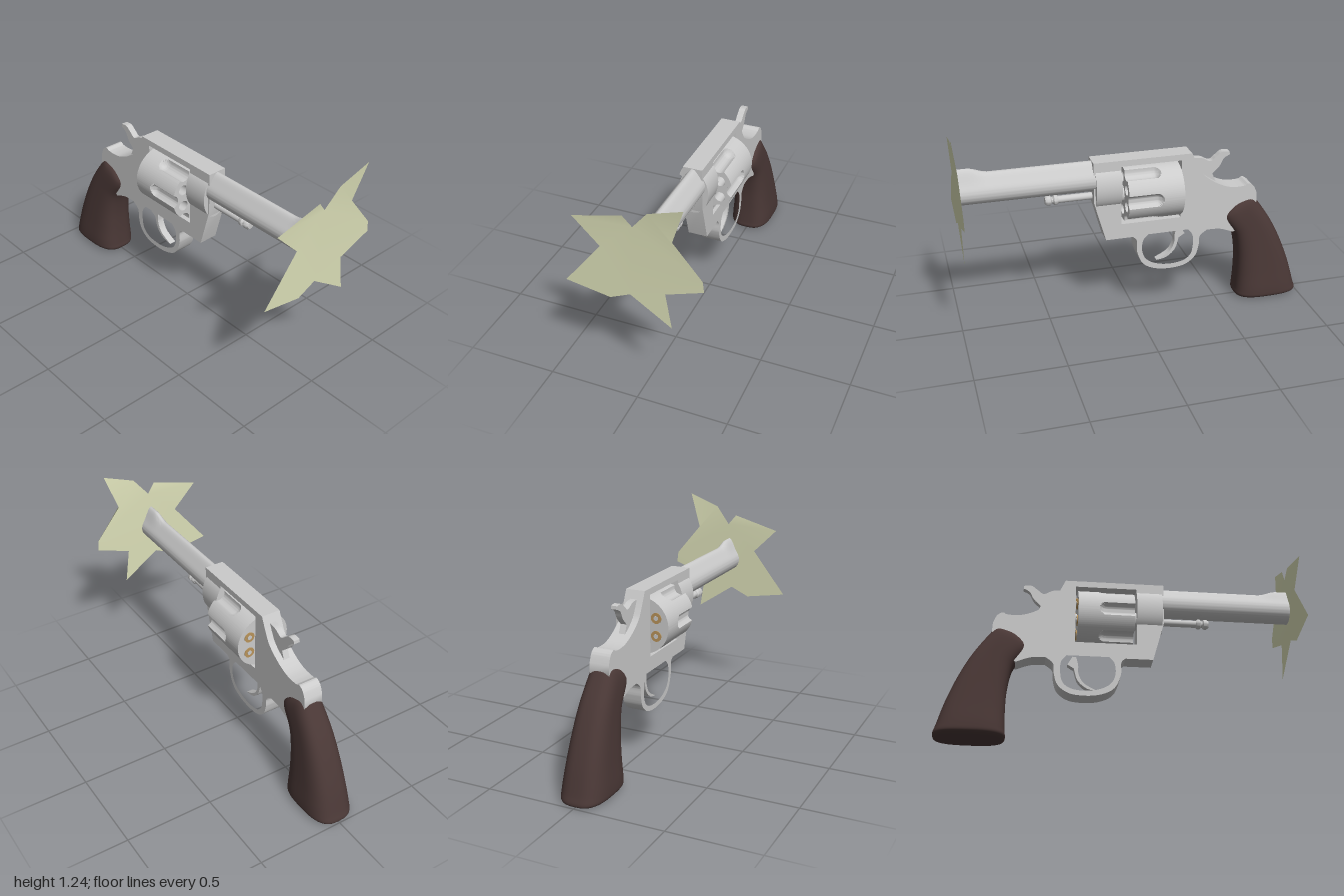
import * as THREE from 'three';
import { toCreasedNormals, mergeVertices } from 'three/addons/utils/BufferGeometryUtils.js';

const steel = new THREE.MeshStandardMaterial({ color: 0xcccccc });
const steelInside = new THREE.MeshStandardMaterial({ color: 0xcccccc, side: THREE.BackSide });
const wood = new THREE.MeshStandardMaterial({ color: 0x4a3836 });
const brass = new THREE.MeshStandardMaterial({ color: 0xb8935a });
const flame = new THREE.MeshStandardMaterial({ color: 0xdcdfb8, side: THREE.DoubleSide });

export function createModel() {
  const model = new THREE.Group();
  const add = (name, geo, mat = steel, parent = model) => {
    const mesh = new THREE.Mesh(geo, mat);
    mesh.name = name;
    parent.add(mesh);
    return mesh;
  };

  // Side-profile plate: shape drawn in (z, y), thickness centred on x = 0
  const plate = (shape, width) => {
    const geo = new THREE.ExtrudeGeometry(shape, { depth: width, bevelEnabled: false, curveSegments: 10 });
    geo.translate(0, 0, -width / 2).rotateY(-Math.PI / 2);
    return toCreasedNormals(geo, 0.6);
  };
  // Round bar along z between two positions
  const bar = (r, z0, z1, y, x = 0, open = false, seg = 28) =>
    new THREE.CylinderGeometry(r, r, z1 - z0, seg, 1, open).rotateX(Math.PI / 2).translate(x, y, (z0 + z1) / 2);
  const pts = (list) => list.map(([a, b]) => new THREE.Vector2(a, b));

  // Frame with trigger guard, cylinder window and guard opening
  const f = new THREE.Shape();
  f.moveTo(0.24, 0.955);
  f.lineTo(0.24, 0.72);
  f.lineTo(0.175, 0.487);
  f.lineTo(0.02, 0.487);
  f.splineThru(pts([[-0.003, 0.46], [-0.005, 0.39], [-0.04, 0.31], [-0.11, 0.27], [-0.2, 0.258],
    [-0.29, 0.27], [-0.35, 0.315], [-0.372, 0.38], [-0.378, 0.44], [-0.42, 0.475]]));
  f.splineThru(pts([[-0.5, 0.47], [-0.58, 0.44]]));
  f.lineTo(-0.66, 0.48);
  f.lineTo(-0.718, 0.62);
  f.lineTo(-0.715, 0.67);
  f.splineThru(pts([[-0.695, 0.715], [-0.665, 0.735], [-0.645, 0.725]]));
  f.splineThru(pts([[-0.6, 0.722], [-0.54, 0.73], [-0.47, 0.76], [-0.4, 0.81], [-0.365, 0.86], [-0.32, 0.955]]));
  f.closePath();
  const windowHole = new THREE.Path(pts([[0.085, 0.92], [-0.26, 0.92], [-0.26, 0.575], [0.085, 0.575]]));
  const guardHole = new THREE.Path();
  guardHole.moveTo(-0.07, 0.492);
  guardHole.splineThru(pts([[-0.04, 0.455], [-0.035, 0.39], [-0.06, 0.335], [-0.12, 0.3], [-0.2, 0.287],
    [-0.28, 0.298], [-0.325, 0.335], [-0.338, 0.4], [-0.333, 0.455], [-0.305, 0.492]]));
  guardHole.closePath();
  f.holes.push(windowHole, guardHole);
  add('frame', plate(f, 0.11));

  // Rounded swelling of the frame where the barrel enters
  add('barrelCollar', bar(1, 0.085, 0.23, 0, 0, false, 40).scale(0.085, 0.13, 1).translate(0, 0.8, 0));

  // Barrel: round tube drawn up into a top rib that rises to the front sight
  const barrel = new THREE.CylinderGeometry(0.068, 0.068, 0.74, 64, 40).rotateX(Math.PI / 2).translate(0, 0, 0.6);
  const bp = barrel.attributes.position;
  for (let i = 0; i < bp.count; i++) {
    const s = Math.max(0, bp.getY(i) / 0.068);
    const rise = 0.037 + 0.028 * THREE.MathUtils.smoothstep(bp.getZ(i), 0.8, 0.91);
    bp.setY(i, bp.getY(i) + 0.847 + rise * s ** 7);
  }
  add('barrel', toCreasedNormals(barrel, 0.7));

  // Ejector rod under the barrel
  const rod = new THREE.Group();
  rod.name = 'ejectorRod';
  model.add(rod);
  add('rodShaft', bar(0.02, 0.2, 0.45, 0.745), steel, rod);
  const knob = [[0, 0], [0.022, 0], [0.028, 0.008], [0.028, 0.022], [0.018, 0.03], [0.018, 0.036],
    [0.028, 0.043], [0.028, 0.06], [0.02, 0.072], [0, 0.074]];
  add('rodKnob', toCreasedNormals(new THREE.LatheGeometry(pts(knob), 24).rotateX(Math.PI / 2)
    .translate(0, 0.745, 0.43), 0.7), steel, rod);

  // Fluted cylinder with chambers in front and cartridges behind
  const drum = new THREE.Group();
  drum.name = 'cylinder';
  drum.position.y = 0.742;
  model.add(drum);
  const R = 0.158, D = 0.165, FRONT = 0.065, BACK = -0.25;
  const drumRadius = (angle, z) => {
    const step = Math.PI / 3;
    const a = angle - Math.round(angle / step) * step;
    const past = Math.max(0, -0.09 - z);
    const inside = 0.04 ** 2 - past ** 2 - (D * Math.sin(a)) ** 2;
    return inside > 0 ? Math.min(R, D * Math.cos(a) - Math.sqrt(inside)) : R;
  };
  const wall = new THREE.CylinderGeometry(R, R, FRONT - BACK, 180, 48, true)
    .rotateX(Math.PI / 2).translate(0, 0, (FRONT + BACK) / 2);
  const wp = wall.attributes.position;
  for (let i = 0; i < wp.count; i++) {
    const a = Math.atan2(wp.getY(i), wp.getX(i));
    const r = drumRadius(a, wp.getZ(i));
    wp.setXY(i, r * Math.cos(a), r * Math.sin(a));
  }
  add('flutedWall', toCreasedNormals(wall, 0.6), steel, drum);
  const face = new THREE.Shape();
  for (let i = 0; i < 180; i++) {
    const a = (i / 180) * Math.PI * 2, r = drumRadius(a, FRONT);
    face[i ? 'lineTo' : 'moveTo'](r * Math.cos(a), r * Math.sin(a));
  }
  face.closePath();
  for (let i = 0; i < 6; i++) {
    const a = Math.PI / 6 + (i * Math.PI) / 3;
    const x = 0.1 * Math.cos(a), y = 0.1 * Math.sin(a);
    face.holes.push(new THREE.Path().absarc(x, y, 0.03, 0, Math.PI * 2, true));
    add('chamber', bar(0.03, -0.1, FRONT, y, x, true), steelInside, drum);
    add('chamberEnd', new THREE.CircleGeometry(0.03, 28).translate(x, y, -0.1), steel, drum);
    add('cartridgeRim', bar(0.03, BACK - 0.005, BACK + 0.02, y, x), brass, drum);
    add('primer', bar(0.013, BACK - 0.007, BACK, y, x), steel, drum);
  }
  add('frontFace', new THREE.ShapeGeometry(face, 14).translate(0, 0, FRONT), steel, drum);
  add('rearFace', new THREE.CircleGeometry(R, 180).rotateY(Math.PI).translate(0, 0, BACK), steel, drum);
  add('axlePin', bar(0.05, 0.05, 0.09, 0), steel, drum);
  add('rearAxlePin', bar(0.03, -0.265, -0.24, 0), steel, drum);

  // Hammer with curved thumb spur
  const h = new THREE.Shape();
  h.moveTo(-0.34, 0.91);
  h.splineThru(pts([[-0.39, 0.905], [-0.44, 0.882], [-0.475, 0.905], [-0.51, 0.93], [-0.553, 0.928]]));
  h.lineTo(-0.555, 0.91);
  h.splineThru(pts([[-0.52, 0.89], [-0.495, 0.845], [-0.455, 0.805]]));
  h.lineTo(-0.49, 0.72);
  h.lineTo(-0.36, 0.72);
  h.closePath();
  add('hammer', plate(h, 0.036));

  // Crescent trigger
  const t = new THREE.Shape();
  t.moveTo(-0.25, 0.5);
  t.splineThru(pts([[-0.238, 0.45], [-0.235, 0.4], [-0.205, 0.345], [-0.13, 0.302]]));
  t.splineThru(pts([[-0.19, 0.315], [-0.24, 0.36], [-0.262, 0.43]]));
  t.lineTo(-0.298, 0.452);
  t.lineTo(-0.27, 0.5);
  t.closePath();
  add('trigger', plate(t, 0.04));

  // Grip: rounded sections lofted between a front edge and a back edge
  // Rows: front z, front y, back z, back y, half width
  const rows = [
    [-0.65, 0.643, -0.65, 0.643, 0], [-0.6, 0.62, -0.69, 0.648, 0.045], [-0.56, 0.59, -0.712, 0.637, 0.066],
    [-0.525, 0.535, -0.735, 0.607, 0.079], [-0.595, 0.417, -0.815, 0.49, 0.09], [-0.62, 0.3, -0.88, 0.365, 0.1],
    [-0.625, 0.16, -0.945, 0.2, 0.113], [-0.62, 0.05, -0.986, 0.06, 0.124], [-0.618, 0.022, -0.998, 0.022, 0.122],
    [-0.63, 0.006, -0.992, 0.008, 0.105], [-0.72, 0.002, -0.9, 0.002, 0.05], [-0.81, 0.001, -0.81, 0.001, 0]];
  const front = new THREE.CatmullRomCurve3(rows.map((r) => new THREE.Vector3(r[4], r[1], r[0])));
  const back = new THREE.CatmullRomCurve3(rows.map((r) => new THREE.Vector3(r[4], r[3], r[2])));
  const N = 66, M = 48, pos = [], index = [];
  const soft = (v) => Math.sign(v) * Math.abs(v) ** 0.68;
  for (let i = 0; i <= N; i++) {
    const a = front.getPoint(i / N), b = back.getPoint(i / N);
    for (let j = 0; j < M; j++) {
      const th = (j / M) * Math.PI * 2, k = (1 - soft(Math.cos(th))) / 2;
      pos.push(Math.max(0, a.x) * soft(Math.sin(th)), Math.max(0, a.y + (b.y - a.y) * k), a.z + (b.z - a.z) * k);
      if (i === N) continue;
      const p = i * M + j, q = i * M + ((j + 1) % M);
      index.push(p, p + M, q, q, p + M, q + M);
    }
  }
  let grip = new THREE.BufferGeometry();
  grip.setAttribute('position', new THREE.Float32BufferAttribute(pos, 3));
  grip.setIndex(index);
  grip = mergeVertices(grip, 1e-5);
  grip.computeVertexNormals();
  add('grip', grip, wood);

  // Muzzle flash: thin jagged star, bent slightly forward at the top
  const star = new THREE.ShapeGeometry(new THREE.Shape(pts([
    [0.28, 1.24], [0.095, 1.174], [0.01, 1.069], [-0.036, 1.127], [-0.308, 1.053], [-0.167, 0.911], [-0.37, 0.652],
    [-0.13, 0.611], [-0.02, 0.662], [0.197, 0.515], [0.167, 0.718], [0.367, 0.79], [0.36, 0.852], [0.21, 1.035]])));
  const sp = star.attributes.position;
  for (let i = 0; i < sp.count; i++) sp.setZ(i, 0.975 + 0.15 * Math.max(0, sp.getY(i) - 1.075));
  star.computeVertexNormals();
  add('muzzleFlash', star, flame);

  return model;
}
